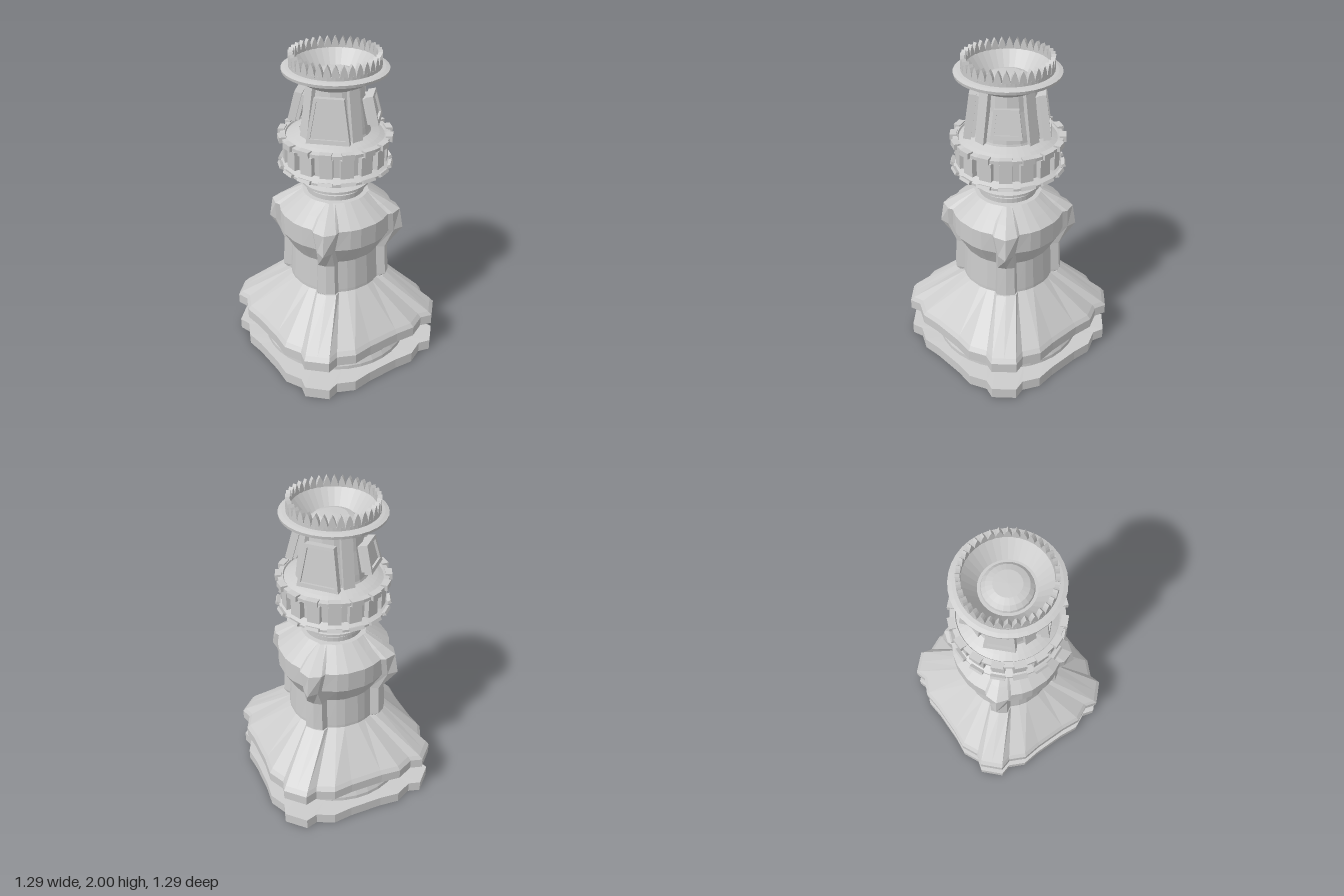
import * as THREE from 'three';

const mat = new THREE.MeshStandardMaterial({ color: 0xcccccc, flatShading: true, side: THREE.DoubleSide });

function add(parent, name, geometry) {
  const mesh = new THREE.Mesh(geometry, mat);
  mesh.name = name;
  parent.add(mesh);
  return mesh;
}

// Expands five points of one eighth into a closed four-fold outline of 36 points
function outline(eighth) {
  const quarter = [...eighth, ...eighth.slice(1).reverse().map(([a, b]) => [b, a])];
  const all = [];
  for (let k = 0; k < 4; k++) {
    for (const [x, z] of quarter) {
      all.push([[x, z], [-z, x], [-x, -z], [z, -x]][k]);
    }
  }
  return all;
}

const polar = (r, deg) => [r * Math.cos(deg * Math.PI / 180), r * Math.sin(deg * Math.PI / 180)];

// Square-ish plate with a lug on each side
const plate = (y, s = 1) => ({
  y,
  pts: outline([[0.645, 0], [0.645, 0.075], [0.578, 0.112], [0.54, 0.22], [0.445, 0.298]].map(p => p.map(v => v * s))),
});
// Plain circle
const circle = (y, r) => ({ y, pts: outline([0, 8, 16, 25, 36].map(d => polar(r, d))) });
// Round body with four ridges
const ridged = (y, body, ridge, half, bevel = 0.01) => ({
  y,
  pts: outline([
    [ridge, 0], [ridge - bevel, half],
    [Math.sqrt(body * body - (half + 0.012) ** 2), half + 0.012],
    polar(body, 25), polar(body, 36),
  ]),
});

// Skins a stack of matching outlines
function loft(rings) {
  const n = rings[0].pts.length, pos = [], index = [];
  for (const { y, pts } of rings) for (const [x, z] of pts) pos.push(x, y, z);
  for (let i = 0; i < rings.length - 1; i++) {
    for (let j = 0; j < n; j++) {
      const a = i * n + j, b = i * n + (j + 1) % n;
      index.push(a, a + n, b, b, a + n, b + n);
    }
  }
  const g = new THREE.BufferGeometry();
  g.setAttribute('position', new THREE.Float32BufferAttribute(pos, 3));
  g.setIndex(index);
  g.computeVertexNormals();
  return g;
}

const lathe = (pts, seg = 36) => new THREE.LatheGeometry(pts.map(p => new THREE.Vector2(...p)), seg);

// Repeats a part around the axis
function around(parent, count, name, build, offset = 0) {
  for (let i = 0; i < count; i++) {
    const pivot = new THREE.Group();
    pivot.name = name;
    pivot.rotation.y = offset + i / count * Math.PI * 2;
    build(pivot, i);
    parent.add(pivot);
  }
}

const trapezoid = (bottom, top, y0, y1, Type) =>
  new Type([[-bottom, y0], [bottom, y0], [top, y1], [-top, y1]].map(p => new THREE.Vector2(...p)));

// Tapered window frame with a recessed pane, leaning back towards the tower
function windowPanel(pivot, bottom, top, h, y, r, lean) {
  const tilt = new THREE.Group();
  tilt.name = 'panel';
  const frame = trapezoid(bottom, top, 0, h, THREE.Shape);
  frame.holes.push(trapezoid(bottom - 0.022, top - 0.016, 0.025, h - 0.02, THREE.Path));
  const extrude = (shape, depth) => new THREE.ExtrudeGeometry(shape, { depth, bevelEnabled: false });
  add(tilt, 'panelFrame', extrude(frame, 0.045)).position.z = -0.045;
  add(tilt, 'panelPane', extrude(trapezoid(bottom - 0.01, top - 0.01, 0.01, h - 0.01, THREE.Shape), 0.05)).position.z = -0.065;
  tilt.position.set(0, y, r);
  tilt.rotation.x = -lean;
  pivot.add(tilt);
}

export function createModel() {
  const model = new THREE.Group();
  model.name = 'tower';

  // Foot plate and the hollow underneath
  add(model, 'footPlate', loft([
    circle(0.5, 0), circle(0.5, 0.24), circle(0.3, 0.34), circle(0, 0.34),
    plate(0), plate(0.072), circle(0.078, 0.44),
  ]));
  add(model, 'grooveRing', lathe([[0.47, 0.07], [0.468, 0.1], [0.452, 0.13], [0.455, 0.18], [0.47, 0.22]]));

  // Flared skirt
  add(model, 'skirt', loft([
    circle(0.22, 0.42), plate(0.22), plate(0.285), plate(0.31, 0.965),
    ridged(0.545, 0.285, 0.325, 0.06), circle(0.545, 0.2),
  ]));

  // Ridged column swelling into the shoulder
  add(model, 'column', loft([
    circle(0.54, 0.2), ridged(0.54, 0.285, 0.31, 0.055), ridged(0.565, 0.285, 0.34, 0.055),
    ridged(0.765, 0.275, 0.33, 0.05), ridged(0.89, 0.345, 0.422, 0.045, 0.05),
    ridged(1.02, 0.345, 0.4, 0.068, 0.035), ridged(1.07, 0.28, 0.32, 0.05, 0.025),
    ridged(1.13, 0.2, 0.21, 0.02), circle(1.135, 0.1),
  ]));

  // Stacked neck rings
  add(model, 'neckRings', lathe([
    [0.15, 1.12], [0.175, 1.135], [0.175, 1.165], [0.155, 1.17], [0.155, 1.185], [0.205, 1.19], [0.205, 1.205],
    [0.165, 1.215], [0.165, 1.23], [0.205, 1.24], [0.205, 1.255], [0.17, 1.262], [0.235, 1.285],
  ]));

  // Collar with rows of blocks and teeth
  const collar = new THREE.Group();
  collar.name = 'collar';
  model.add(collar);
  add(collar, 'collarBody', lathe([
    [0.17, 1.255], [0.24, 1.28], [0.25, 1.3], [0.325, 1.308], [0.325, 1.322], [0.28, 1.345], [0.28, 1.47],
    [0.325, 1.48], [0.325, 1.5], [0.295, 1.505], [0.29, 1.495], [0.26, 1.51], [0.21, 1.53],
  ], 48));
  around(collar, 16, 'collarTooth', pivot => {
    add(pivot, 'block', new THREE.BoxGeometry(0.075, 0.115, 0.04)).position.set(0, 1.408, 0.291);
    add(pivot, 'topClip', new THREE.BoxGeometry(0.07, 0.035, 0.04)).position.set(0, 1.495, 0.32);
    const lower = add(pivot, 'lowerTooth', new THREE.BoxGeometry(0.085, 0.02, 0.07));
    lower.position.set(0, 1.312, 0.308);
    lower.rotation.x = -0.45;
  });

  // Upper tower with its four framed panels
  add(model, 'upperTower', lathe([
    [0.215, 1.51], [0.205, 1.54], [0.2, 1.58], [0.175, 1.72], [0.165, 1.82],
  ], 16));
  around(model, 4, 'towerPanel', (pivot, i) => {
    if (i % 2) windowPanel(pivot, 0.09, 0.07, 0.17, 1.6, 0.265, 0.24);
    else windowPanel(pivot, 0.125, 0.085, 0.26, 1.535, 0.252, 0.14);
  });
  // Slim corner posts between the panels
  around(model, 4, 'cornerPost', pivot => {
    const post = add(pivot, 'post', new THREE.BoxGeometry(0.07, 0.31, 0.05));
    post.position.set(0, 1.67, 0.178);
    post.rotation.x = -0.14;
  }, Math.PI / 4);

  // Flared bowl with a dome inside
  add(model, 'bowl', lathe([
    [0.12, 1.79], [0.17, 1.815], [0.285, 1.882], [0.305, 1.888], [0.308, 1.905], [0.285, 1.912],
    [0.265, 1.915], [0.265, 1.935], [0.24, 1.935], [0.16, 1.835], [0.14, 1.835],
  ]));
  add(model, 'dome', lathe([[0.145, 1.83], [0.14, 1.85], [0.118, 1.872], [0.08, 1.885], [0, 1.888]], 24));

  // Crown of pointed teeth
  const tooth = new THREE.Shape();
  tooth.moveTo(-0.0225, 0);
  tooth.lineTo(0.0225, 0);
  tooth.quadraticCurveTo(0.02, 0.045, 0, 0.075);
  tooth.quadraticCurveTo(-0.02, 0.045, -0.0225, 0);
  const toothGeometry = new THREE.ExtrudeGeometry(tooth, { depth: 0.025, bevelEnabled: false, curveSegments: 4 });
  around(model, 36, 'crownTooth', pivot => {
    add(pivot, 'tooth', toothGeometry).position.set(0, 1.925, 0.239);
  });

  return model;
}
